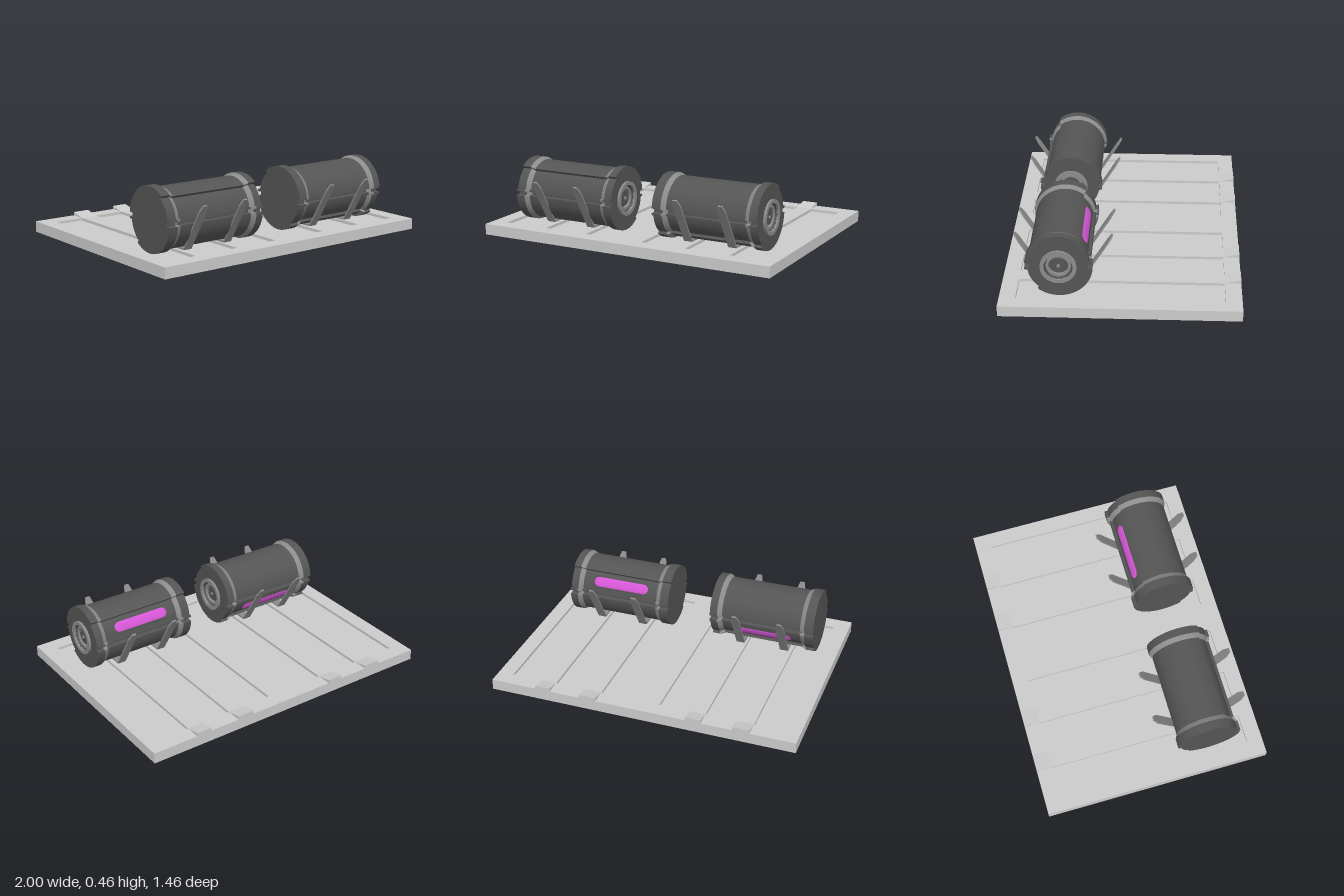
import * as THREE from 'three';
import { mergeGeometries, toCreasedNormals } from 'three/addons/utils/BufferGeometryUtils.js';

const grey = (color) => new THREE.MeshStandardMaterial({ color, side: THREE.DoubleSide });
const light = grey(0xcccccc), mid = grey(0x8c8c8c), dark = grey(0x555555), glow = grey(0xd858d8);
const deg = Math.PI / 180;

function add(parent, name, geometry, material, x = 0, y = 0, z = 0) {
  const m = new THREE.Mesh(geometry, material);
  m.name = name;
  m.position.set(x, y, z);
  parent.add(m);
  return m;
}

const polygon = (pts) => new THREE.Shape(pts.map(([x, y]) => new THREE.Vector2(x, y)));

// Canister outline as [angle, radial drop]: two slots and two sunken sectors on opposite sides
function outline(side) {
  const pts = [];
  for (const turn of [0, 180]) {
    const put = (a, d) => pts.push([(a + turn) * deg * side, d]);
    put(-4, 0.03); put(0, 0.03); put(4, 0.03);
    put(4, 0); put(8, 0);
    for (let a = 8; a <= 52; a += 4) put(a, 0.018);
    for (let a = 52; a <= 176; a += 4) put(a, 0);
  }
  return side < 0 ? pts.reverse() : pts;
}

// Skin the outline through stations [x, radius]
function loft(stations, side) {
  const ring = outline(side), n = ring.length, pos = [], index = [];
  for (const [x, r] of stations)
    for (const [a, d] of ring) {
      const q = r > 0.15 ? r - d : r;
      pos.push(x, q * Math.sin(a), -q * Math.cos(a));
    }
  for (let s = 0; s < stations.length - 1; s++)
    for (let i = 0; i < n; i++) {
      const j = (i + 1) % n, a = s * n + i, b = s * n + j;
      index.push(a, b, b + n, a, b + n, a + n);
    }
  const g = new THREE.BufferGeometry();
  g.setAttribute('position', new THREE.Float32BufferAttribute(pos, 3));
  g.setIndex(index);
  return toCreasedNormals(g, 25 * deg);
}

// Turned part around the x axis from [radius, x] points
function turned(pts) {
  const g = new THREE.LatheGeometry(pts.map(([r, x]) => new THREE.Vector2(r, x)), 48);
  g.rotateZ(-Math.PI / 2);
  return toCreasedNormals(g, 30 * deg);
}

function makeCanister(side) {
  const c = new THREE.Group();
  c.name = 'canister';
  add(c, 'canisterBody', loft([[-0.27, 0.19], [0.27, 0.19]], side), dark);
  add(c, 'rearCollar', loft([[-0.35, 0], [-0.35, 0.205], [-0.29, 0.205]], side), dark);
  add(c, 'frontCollar', loft([[0.3, 0.205], [0.35, 0.205], [0.35, 0.09]], side), dark);
  add(c, 'rearTaper', loft([[-0.29, 0.205], [-0.26, 0.19]], side), mid);
  add(c, 'frontTaper', loft([[0.27, 0.19], [0.3, 0.205]], side), mid);

  // Recessed valve in the +x end
  add(c, 'valveRim', turned([[0.11, 0.345], [0.11, 0.365], [0.087, 0.365], [0.087, 0.35]]), mid);
  add(c, 'valveWell', turned([[0.087, 0.355], [0.087, 0.32], [0.07, 0.32]]), dark);
  add(c, 'valveRing', turned([[0.075, 0.32], [0.075, 0.345], [0.06, 0.345], [0.06, 0.32]]), mid);
  add(c, 'valveCore', turned([[0.062, 0.325], [0.048, 0.325], [0.048, 0.34], [0, 0.34]]), dark);
  add(c, 'valvePin', turned([[0.01, 0.335], [0.01, 0.348], [0, 0.348]]), mid);

  // Glowing window lying in the rear sunken sector
  const sector = new THREE.Group();
  sector.name = 'window';
  sector.rotation.x = 30 * deg * side;
  c.add(sector);
  const pill = (r) => new THREE.CapsuleGeometry(r, 0.32, 8, 20).rotateZ(Math.PI / 2);
  add(sector, 'windowFrame', pill(0.041), dark, 0, 0, -0.169).scale.z = 0.12;
  add(sector, 'windowLens', pill(0.035), glow, 0, 0, -0.169).scale.z = 0.25;
  return c;
}

// Spring clip: flat foot with two splayed, pointed arms
function makeClip() {
  const clip = new THREE.Group();
  clip.name = 'clip';
  add(clip, 'clipFoot', new THREE.BoxGeometry(0.055, 0.01, 0.245), mid, 0, 0.005, 0);
  const shape = polygon([[-0.0275, 0], [0.0275, 0], [0.0275, 0.295], [0.014, 0.342], [-0.014, 0.342], [-0.0275, 0.295]]);
  for (const s of [-1, 1]) {
    const g = new THREE.ExtrudeGeometry(shape, { depth: 0.01, bevelEnabled: false });
    g.translate(0, 0, -0.005);
    add(clip, 'clipArm', g, mid, 0, 0.003, s * 0.12).rotation.x = s * 31.4 * deg;
  }
  return clip;
}

function makeTray() {
  const tray = new THREE.Group();
  tray.name = 'tray';
  const w = 1, d = 0.73, sunk = 0.018, top = 0.07;

  // Top layer with three sunken panels per bay
  const shape = polygon([[-w, -d], [w, -d], [w, d], [-w, d]]);
  for (const bay of [-0.5, 0.5])
    for (const [a, b] of [[-0.4, -0.21], [-0.1, 0.1], [0.2, 0.4]])
      shape.holes.push(polygon([[bay + a, -0.63], [bay + a, 0.63], [bay + b, 0.63], [bay + b, -0.63]]));
  const layer = new THREE.ExtrudeGeometry(shape, { depth: sunk, bevelEnabled: false });
  layer.rotateX(-Math.PI / 2);
  add(tray, 'trayTop', layer, light, 0, top - sunk, 0);
  add(tray, 'trayBase', new THREE.BoxGeometry(2 * w, top - sunk, 2 * d), light, 0, (top - sunk) / 2, 0);

  // Wedge stops at the back end of each rail
  const wedges = [];
  for (const bay of [-0.5, 0.5])
    for (const [a, b] of [[-0.21, -0.1], [0.1, 0.2]]) {
      const g = new THREE.ExtrudeGeometry(polygon([[-d, 0], [-0.63, 0], [-d, 0.022]]), { depth: b - a, bevelEnabled: false });
      g.rotateY(-Math.PI / 2);
      g.translate(bay + b, top, 0);
      wedges.push(g);
    }
  add(tray, 'railStops', mergeGeometries(wedges), light);
  return tray;
}

export function createModel() {
  const model = new THREE.Group();
  model.name = 'canisterTray';
  model.add(makeTray());
  for (const side of [-1, 1]) {
    const x = side * 0.5 - 0.007;
    const canister = makeCanister(side);
    canister.position.set(x, 0.26, 0.372);
    model.add(canister);
    for (const dx of [-0.15, 0.15]) {
      const clip = makeClip();
      clip.position.set(x + dx, 0.07, 0.356);
      model.add(clip);
    }
  }
  return model;
}
